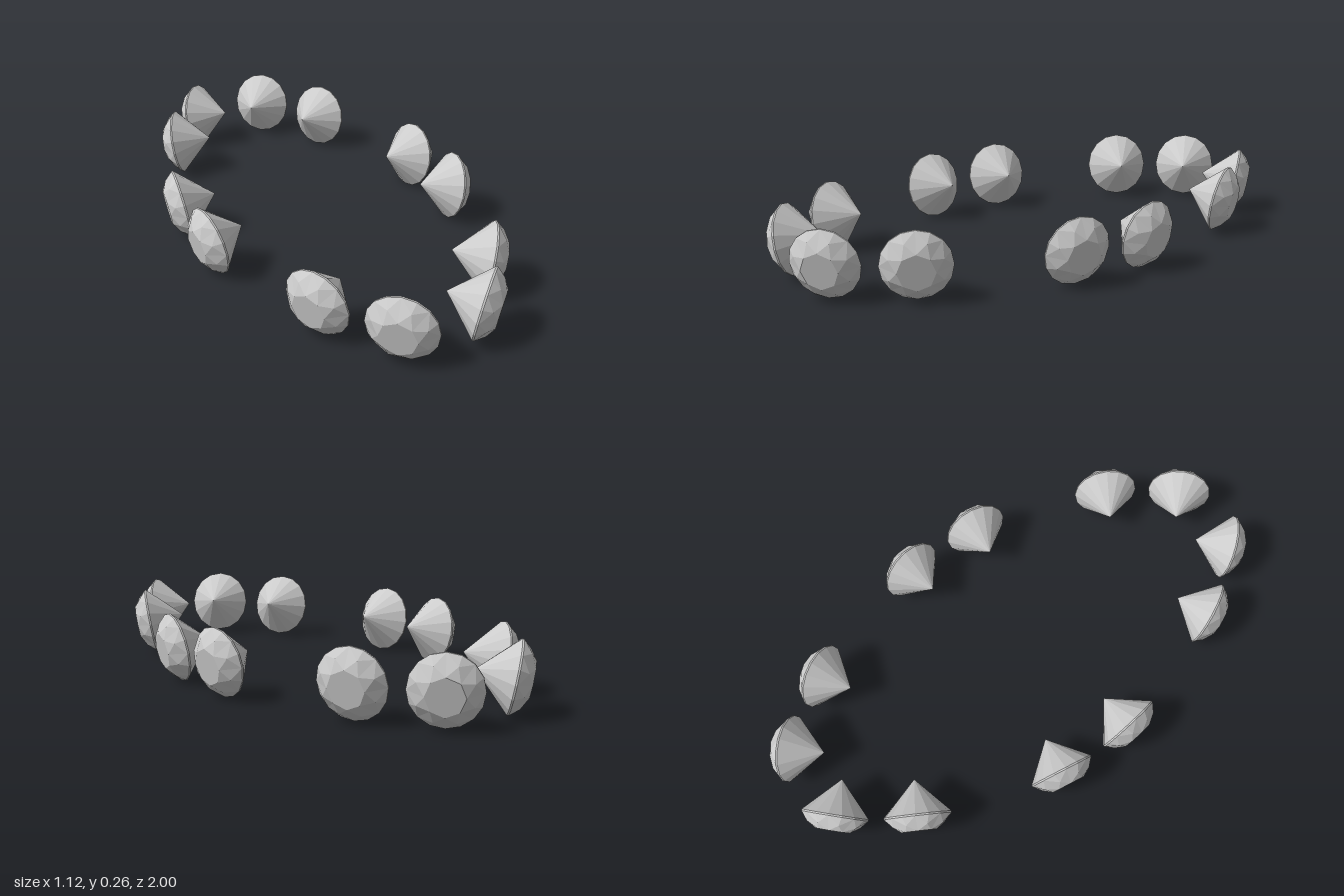
import * as THREE from 'three';

const R = 0.122, STRETCH = 1.04, SIDES = 16;

// Point on a ring: radius r, height h along the gem's axis (+z), step in sixteenths of a turn
function ringPoint(r, h, step) {
  const a = (step / SIDES) * Math.PI * 2;
  return [Math.cos(a) * r, Math.sin(a) * r * STRETCH, h];
}

// Round brilliant cut: table, star, kite and girdle facets over a 16-sided pavilion
function gemGeometry() {
  const table = (i) => ringPoint(0.064, 0.055, i);
  const mid = (i) => ringPoint(0.097, 0.034, i);
  const girdle = (i) => ringPoint(R, 0.003, i);
  const rim = (i) => ringPoint(R, -0.003, i);
  const top = [0, 0, 0.055], tip = [0, 0, -0.129];
  const pos = [];
  const tri = (...points) => points.forEach((p) => pos.push(...p));

  for (let i = 0; i < SIDES; i += 2) {
    tri(top, table(i), table(i + 2));
    // star facet
    tri(table(i), mid(i + 1), table(i + 2));
    // kite facet, two halves
    tri(table(i), mid(i - 1), girdle(i));
    tri(table(i), girdle(i), mid(i + 1));
    // upper girdle facets
    tri(mid(i + 1), girdle(i), girdle(i + 1));
    tri(mid(i + 1), girdle(i + 1), girdle(i + 2));
  }
  for (let i = 0; i < SIDES; i++) {
    // thin girdle band
    tri(girdle(i), rim(i), rim(i + 1));
    tri(girdle(i), rim(i + 1), girdle(i + 1));
    // pavilion
    tri(rim(i), tip, rim(i + 1));
  }
  const geo = new THREE.BufferGeometry();
  geo.setAttribute('position', new THREE.Float32BufferAttribute(pos, 3));
  geo.computeVertexNormals();
  return geo;
}

export function createModel() {
  const group = new THREE.Group();
  group.name = 'gemRing';
  const geo = gemGeometry();
  const mat = new THREE.MeshStandardMaterial({ color: 0xcccccc, flatShading: true });

  // One quarter of the oval: girdle centre and the outward angle from the x axis
  const quarter = [
    { name: 'sideGem', x: 0.492, y: 0.128, z: 0.152, angle: 8 },
    { name: 'shoulderGem', x: 0.323, y: 0.132, z: 0.668, angle: 29 },
    { name: 'endGem', x: 0.15, y: 0.133, z: 0.907, angle: 45 },
  ];
  const tilt = THREE.MathUtils.degToRad(10);

  for (const sx of [1, -1]) {
    for (const sz of [1, -1]) {
      for (const { name, x, y, z, angle } of quarter) {
        const a = THREE.MathUtils.degToRad(angle);
        const gem = new THREE.Mesh(geo, mat);
        gem.name = (sz > 0 ? 'front' : 'back') + (sx > 0 ? 'Left' : 'Right') + name[0].toUpperCase() + name.slice(1);
        gem.position.set(sx * x, y, sz * z);
        // face outward, leaning slightly down
        gem.rotation.set(tilt, Math.atan2(sx * Math.cos(a), sz * Math.sin(a)), 0, 'YXZ');
        group.add(gem);
      }
    }
  }
  return group;
}
